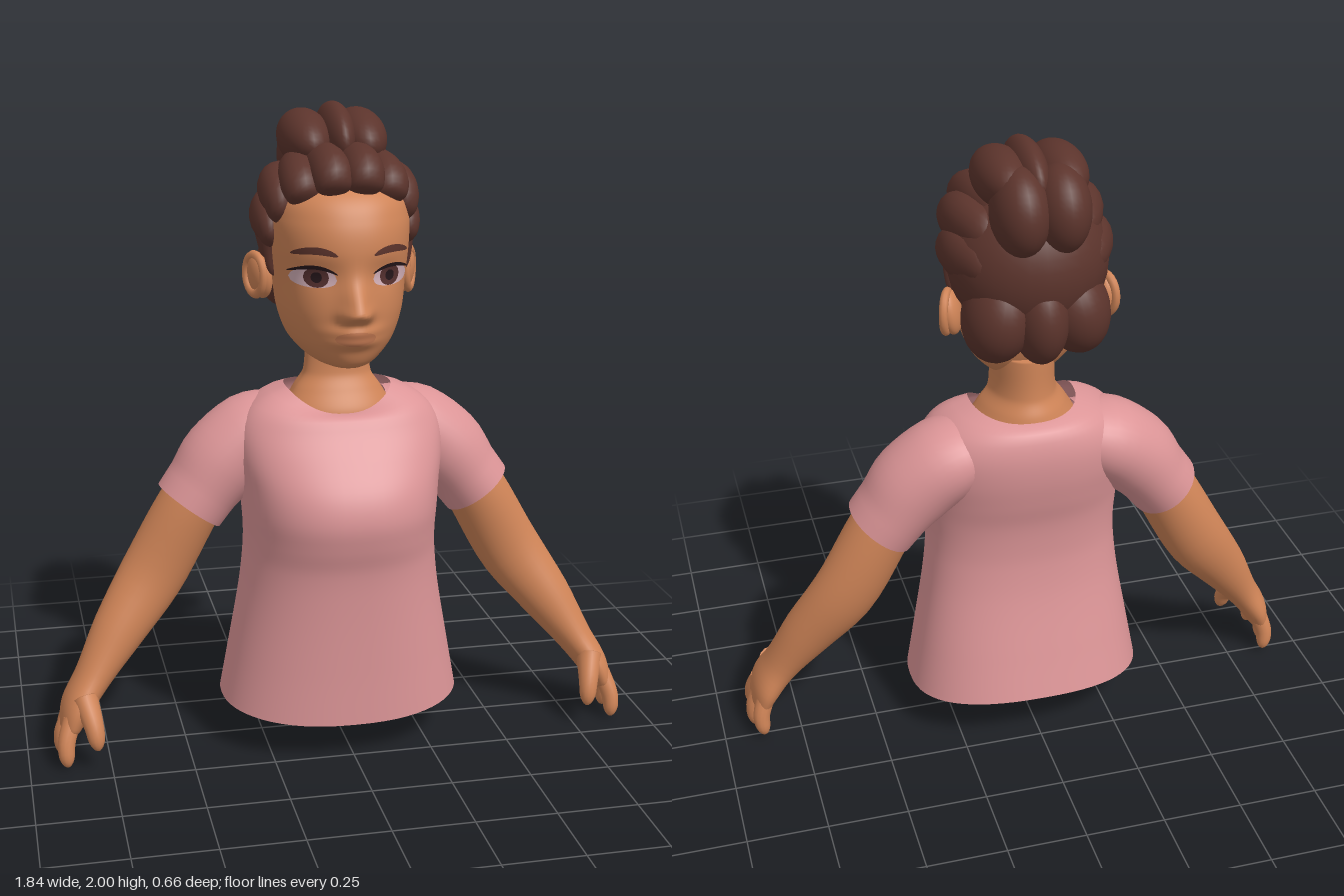
import * as THREE from 'three';

const mat = (name, color, side = THREE.FrontSide) => {
  const m = new THREE.MeshStandardMaterial({ color, side });
  m.name = name;
  return m;
};
const sgnPow = (v, p) => Math.sign(v) * Math.pow(Math.abs(v), p);
const gauss = (d, s) => Math.exp(-(d * d) / (2 * s * s));

// smooth interpolation of table rows, keyed by height in column 0
function sample(rows, y) {
  let i = 0;
  while (i < rows.length - 2 && y > rows[i + 1][0]) i++;
  const at = k => rows[Math.max(0, Math.min(rows.length - 1, k))];
  const a = at(i), b = at(i + 1), h = b[0] - a[0], t = Math.max(0, Math.min(1, (y - a[0]) / h));
  const slope = (k, c) => (at(k + 1)[c] - at(k - 1)[c]) / (at(k + 1)[0] - at(k - 1)[0]);
  const t2 = t * t, t3 = t2 * t;
  return a.map((_, c) => c === 0 ? y : (2 * t3 - 3 * t2 + 1) * a[c] + (t3 - 2 * t2 + t) * h * slope(i, c)
    + (3 * t2 - 2 * t3) * b[c] + (t3 - t2) * h * slope(i + 1, c));
}

// smooth skin over rings of points, optionally closed at both ends
function skinRings(rings, closed) {
  const n = rings[0].length, pos = [], idx = [], last = rings.length - 1;
  rings.forEach(r => r.forEach(p => pos.push(p.x, p.y, p.z)));
  for (let i = 0; i < last; i++) for (let j = 0; j < n; j++) {
    const k = (j + 1) % n, a = i * n + j, b = i * n + k;
    idx.push(a, a + n, b, b, a + n, b + n);
  }
  if (closed) [0, last].forEach((r, e) => {
    const c = new THREE.Vector3();
    rings[r].forEach(p => c.addScaledVector(p, 1 / n));
    const ci = pos.length / 3;
    pos.push(c.x, c.y, c.z);
    for (let j = 0; j < n; j++) {
      const a = r * n + j, b = r * n + (j + 1) % n;
      if (e) idx.push(a, ci, b); else idx.push(a, b, ci);
    }
  });
  const g = new THREE.BufferGeometry();
  g.setAttribute('position', new THREE.Float32BufferAttribute(pos, 3));
  g.setIndex(idx);
  g.computeVertexNormals();
  return g;
}

// upright body; rows are [y, halfWidth, zFront, zBack, dyFront, dyBack]
function loft(rows, { p = 2, n = 56, steps = 48, closed = false, bump = null } = {}) {
  const rings = [], y0 = rows[0][0], y1 = rows[rows.length - 1][0];
  for (let i = 0; i <= steps; i++) {
    const [y, w, zf, zb, df = 0, db = 0] = sample(rows, y0 + (y1 - y0) * i / steps), ring = [];
    for (let j = 0; j < n; j++) {
      const th = j / n * 2 * Math.PI, c = Math.cos(th), s = Math.sin(th);
      const v = new THREE.Vector3(w * sgnPow(c, 2 / p), y + (s > 0 ? df : db) * s * s,
        (s > 0 ? zf : -zb) * sgnPow(s, 2 / p));
      if (bump && s > 0) v.z += bump(v.x, v.y);
      ring.push(v);
    }
    rings.push(ring);
  }
  return skinRings(rings, closed);
}

// curved limb; points are [x, y, z, radiusA, radiusB], radiusB lies along ref
function limb(pts, { ref = [0, 0, 1], round = 0.12, roundStart = 0, n = 20, steps = 24, closed = true } = {}) {
  const path = new THREE.CatmullRomCurve3(pts.map(q => new THREE.Vector3(q[0], q[1], q[2])));
  const size = new THREE.CatmullRomCurve3(pts.map(q => new THREE.Vector3(q[3], q[4], 0)));
  const rings = [];
  const dome = (d, e) => e && d < e ? Math.sqrt(Math.max(0.004, 1 - (1 - d / e) ** 2)) : 1;
  for (let i = 0; i <= steps; i++) {
    const u = 0.5 - 0.5 * Math.cos(Math.PI * i / steps), c = path.getPoint(u), r = size.getPoint(u), t = path.getTangent(u);
    const B = new THREE.Vector3(...ref);
    B.addScaledVector(t, -B.dot(t)).normalize();
    const A = new THREE.Vector3().crossVectors(t, B);
    const k = dome(1 - u, round) * dome(u, roundStart), ring = [];
    for (let j = 0; j < n; j++) {
      const th = j / n * 2 * Math.PI;
      ring.push(c.clone().addScaledVector(A, r.x * k * Math.cos(th)).addScaledVector(B, r.y * k * Math.sin(th)));
    }
    rings.push(ring);
  }
  return skinRings(rings, closed);
}

const HEAD_P = 2.2;
const HEAD = [
  [1.235, .05, .17, -.03], [1.245, .085, .21, -.06], [1.27, .12, .235, -.09], [1.32, .16, .25, -.12],
  [1.4, .188, .26, -.15], [1.5, .2, .255, -.18], [1.6, .21, .262, -.2], [1.68, .21, .245, -.2],
  [1.75, .185, .2, -.18], [1.81, .1, .1, -.1]];
// nose, nostrils, lips and eye sockets
function faceBump(x, y) {
  const ax = Math.abs(x);
  return 0.068 * gauss(x, .026) * gauss(y - 1.425, y > 1.425 ? .055 : .02)
    + 0.022 * gauss(ax - .03, .016) * gauss(y - 1.415, .018)
    + 0.022 * gauss(x, .05) * (gauss(y - 1.362, .014) + gauss(y - 1.33, .014))
    - 0.012 * gauss(ax - .1, .04) * gauss(y - 1.53, .03);
}
function faceZ(x, y) {
  const [, w, zf] = sample(HEAD, y);
  return zf * Math.pow(Math.max(0, 1 - Math.pow(Math.abs(x) / w, HEAD_P)), 1 / HEAD_P) + faceBump(x, y);
}
// thin almond plate that follows the face
function facePatch(cx, cy, rx, ry, bend, off) {
  const g = new THREE.PlaneGeometry(2, 2, 24, 8), p = g.attributes.position;
  for (let i = 0; i < p.count; i++) {
    const u = p.getX(i), r = Math.sqrt(Math.max(0, 1 - u * u));
    const x = cx + rx * u, y = cy + bend * (1 - u * u) + ry * p.getY(i) * r;
    p.setXYZ(i, x, y, faceZ(x, y) + off);
  }
  g.computeVertexNormals();
  return g;
}

export function createModel() {
  const root = new THREE.Group();
  const skin = mat('skin', 0xcf8457), shirt = mat('shirtPink', 0xdc9597, THREE.DoubleSide);
  const hair = mat('hairBrown', 0x5c342c), white = mat('eyeWhite', 0xd3b0b8), iris = mat('irisBrown', 0x55302f);
  const dark = mat('pupilDark', 0x25161a), lip = mat('lip', 0xbf7650);
  const add = (name, geo, m, parent = root) => {
    const mesh = new THREE.Mesh(geo, m);
    mesh.name = name;
    parent.add(mesh);
    return mesh;
  };
  const blob = (name, m, c, r, rot = [0, 0, 0]) => {
    const b = add(name, new THREE.SphereGeometry(1, 28, 20), m);
    b.position.set(...c); b.scale.set(...r); b.rotation.set(...rot);
    return b;
  };

  // shirt body, with dipped neckline and slanted hem
  add('shirtBody', loft([
    [.145, .38, .28, -.28, -.025, .03], [.3, .352, .28, -.245, -.01, .01], [.5, .317, .285, -.2, 0, 0],
    [.62, .303, .295, -.185, 0, 0], [.7, .3, .316, -.186, 0, 0], [.78, .305, .328, -.195, 0, 0],
    [.86, .312, .308, -.215, 0, 0], [.95, .325, .25, -.232, 0, 0], [1.03, .318, .195, -.235, -.005, 0],
    [1.09, .28, .165, -.222, -.02, 0], [1.13, .22, .14, -.2, -.05, -.01], [1.15, .165, .12, -.172, -.07, -.02],
  ], { p: 2.35, n: 64, steps: 60 }), shirt);

  // neck and the lower body inside the shirt
  add('neck', loft([[1, .2, .12, -.19], [1.08, .17, .11, -.18], [1.14, .135, .078, -.166], [1.19, .104, .055, -.145],
    [1.32, .1, .05, -.14]], { closed: true }), skin);
  blob('belly', skin, [0, .42, .02], [.28, .2, .2]);

  // head
  add('head', loft(HEAD, { p: HEAD_P, n: 96, steps: 90, closed: true, bump: faceBump }), skin);
  add('lips', facePatch(0, 1.345, .062, .022, .0, .003), lip);

  for (const s of [1, -1]) {
    const side = s > 0 ? 'left' : 'right', m = pts => pts.map(q => [q[0] * s, ...q.slice(1)]);
    blob(side + 'Hip', skin, [s * .15, .34, -.01], [.16, .17, .19]);

    // sleeve, arm and hand
    add(side + 'Sleeve', limb(m([[.13, 1.03, -.06, .09, .12], [.26, .985, -.06, .13, .15], [.355, .91, -.05, .133, .145],
      [.42, .83, -.045, .118, .135], [.465, .77, -.04, .115, .13]]), { round: 0, closed: false, n: 36 }), shirt);
    add(side + 'Arm', limb(m([[.37, .9, -.05, .085, .095], [.46, .77, -.05, .1, .103], [.585, .55, -.045, .103, .09],
      [.7, .39, .0, .084, .082], [.79, .255, .04, .058, .078], [.845, .17, .06, .048, .098], [.875, .09, .068, .03, .088]]),
      { n: 32, steps: 40, round: .05 }), skin);
    const fingers = {
      IndexFinger: [[.862, .15, .115, .03, .03], [.885, .08, .145, .027, .028], [.884, .01, .162, .023, .025]],
      MiddleFinger: [[.868, .14, .06, .03, .032], [.892, .08, .06, .027, .03], [.892, .005, .055, .023, .026]],
      RingFinger: [[.86, .14, .005, .03, .03], [.878, .08, -.01, .027, .027], [.872, .015, -.02, .022, .023]],
      Thumb: [[.82, .21, .11, .04, .045], [.8, .14, .17, .03, .03], [.79, .07, .192, .023, .024]],
    };
    for (const f in fingers) add(side + f, limb(m(fingers[f]), { n: 14, steps: 16, round: .3 }), skin);

    // ear
    blob(side + 'Ear', skin, [s * .228, 1.48, -.065], [.03, .07, .05], [0, s * -.45, s * -.15]);
    const rim = add(side + 'EarRim', new THREE.TorusGeometry(.047, .013, 10, 24), skin);
    rim.position.set(s * .243, 1.485, -.068); rim.rotation.set(0, s * (Math.PI / 2 - .45), 0); rim.scale.y = 1.25;

    // eye and brow
    add(side + 'Eye', facePatch(s * .116, 1.518, .062, .031, .006, .004), white);
    add(side + 'Iris', facePatch(s * .11, 1.524, .034, .03, 0, .006), iris);
    add(side + 'Pupil', facePatch(s * .11, 1.524, .015, .016, 0, .008), dark);
    add(side + 'Lashes', facePatch(s * .118, 1.534, .066, .006, .02, .008), dark);
    add(side + 'Brow', facePatch(s * .115, 1.59, .062, .011, .014, .007), hair);

    // swept hair locks from the hairline to the crown
    const locks = [
      [[.045, 1.755, .185, .035, .05], [.048, 1.81, .15, .066, .062], [.048, 1.825, .03, .07, .065], [.035, 1.8, -.14, .06, .05]],
      [[.125, 1.73, .155, .035, .045], [.13, 1.775, .115, .064, .062], [.12, 1.8, .01, .07, .065], [.08, 1.79, -.15, .06, .05]],
      [[.188, 1.665, .09, .03, .03], [.187, 1.73, .055, .065, .052], [.175, 1.755, -.04, .075, .062], [.11, 1.74, -.19, .06, .06]],
      [[.212, 1.59, .045, .03, .02], [.213, 1.645, .01, .06, .042], [.2, 1.67, -.09, .075, .054], [.12, 1.66, -.22, .06, .06]],
    ];
    locks.forEach((l, i) => add(side + 'HairLock' + i, limb(m(l),
      { ref: [1, 0, 0], round: .15, roundStart: .14, n: 18 }), hair));
    add(side + 'Sideburn', limb(m([[.2, 1.62, .02, .035, .022], [.202, 1.55, .018, .025, .014], [.196, 1.495, .018, .018, .01]]),
      { n: 12, steps: 12, round: .3 }), hair);

    // lower back roll and top bun, side lobes
    blob(side + 'BackRoll', hair, [s * .115, 1.5, -.165], [.105, .14, .13], [0, 0, s * .2]);
    blob(side + 'BunLobe', hair, [s * .085, 1.895, -.085], [.08, .085, .165], [.1, 0, 0]);
    blob(side + 'BunBack', hair, [s * .06, 1.83, -.205], [.085, .13, .122], [.25, 0, 0]);
  }

  // hair cap and middle lobes
  blob('hairCap', hair, [0, 1.635, -.075], [.24, .235, .225]);
  blob('backRollMiddle', hair, [0, 1.5, -.2], [.085, .145, .122]);
  blob('bunMiddle', hair, [.01, 1.9, -.085], [.055, .1, .17], [.08, 0, 0]);
  return root;
}
